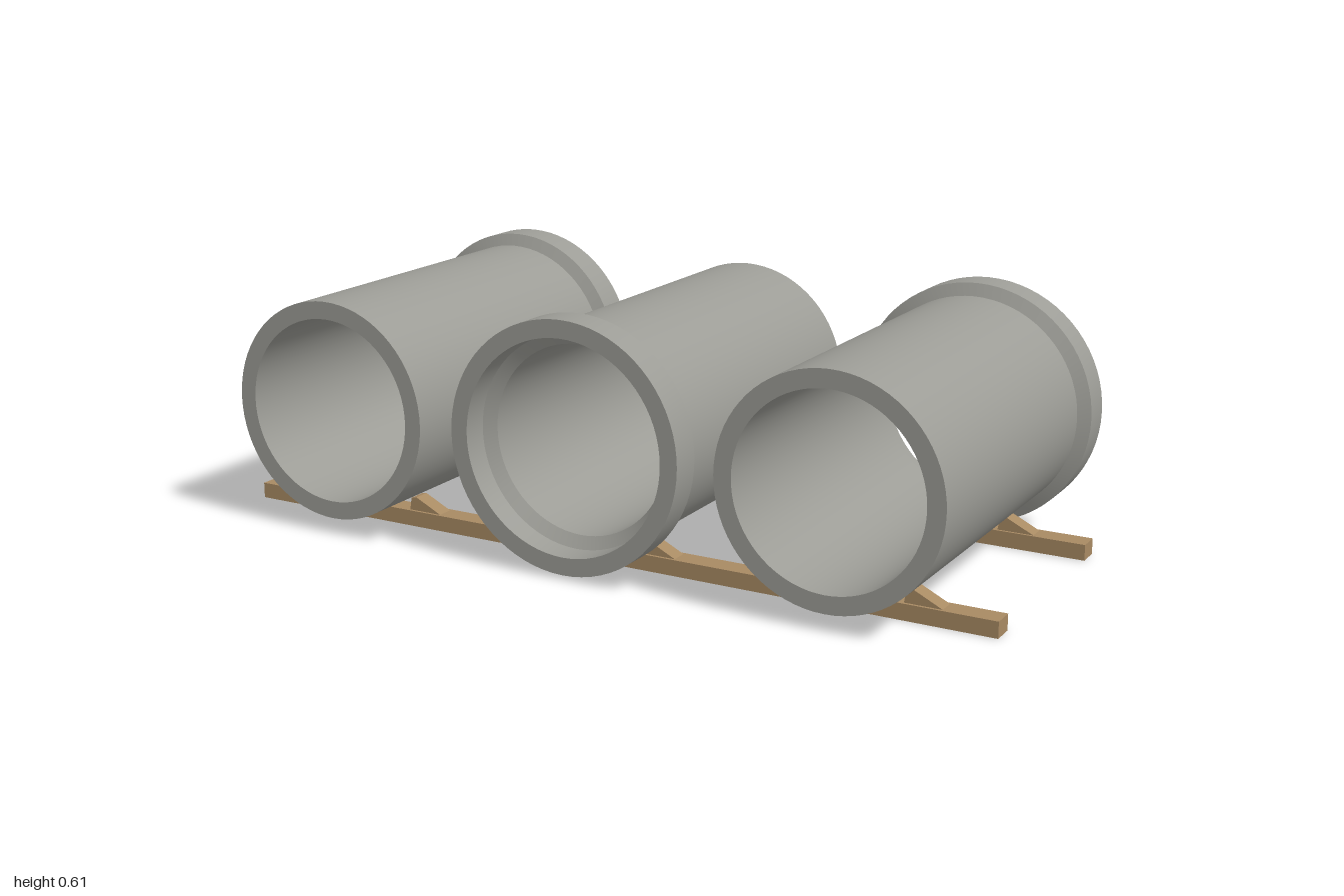
import * as THREE from 'three';
import { toCreasedNormals } from 'three/addons/utils/BufferGeometryUtils.js';

const concrete = new THREE.MeshStandardMaterial({ color: 0x9c9c96 });
concrete.name = 'concrete';
const wood = new THREE.MeshStandardMaterial({ color: 0xa88a63 });
wood.name = 'wood';

// Hollow pipe along z, with the bell end at +z
function pipeGeometry() {
  const profile = [
    [0.227, -0.458], [0.27, -0.458], // plain end
    [0.27, 0.363], [0.30, 0.378], [0.30, 0.458], // barrel, shoulder, bell
    [0.257, 0.458], [0.255, 0.395], [0.227, 0.375], // socket
    [0.227, -0.458], // bore
  ].map(([r, y]) => new THREE.Vector2(r, y));
  const geometry = new THREE.LatheGeometry(profile, 72);
  geometry.rotateX(Math.PI / 2);
  return toCreasedNormals(geometry, 0.35);
}

// Chock on the +x side of a pipe, resting on the batten
function chockGeometry() {
  const points = [[0.21, 0.039], [0.14, 0.073], [0.125, 0.07], [0.12, 0.039]];
  const shape = new THREE.Shape(points.map(([x, y]) => new THREE.Vector2(x, y)));
  const geometry = new THREE.ExtrudeGeometry(shape, { depth: 0.042, bevelEnabled: false });
  return geometry.translate(0, 0, -0.021);
}

export function createModel() {
  const model = new THREE.Group();
  model.name = 'pipesOnBattens';
  const pipe = pipeGeometry();
  const chock = chockGeometry();
  const batten = new THREE.BoxGeometry(2, 0.039, 0.056).translate(0, 0.0195, 0);
  const pipeX = [-0.66, 0, 0.66];

  const add = (name, geometry, material, x, y, z, turned = false) => {
    const mesh = new THREE.Mesh(geometry, material);
    mesh.name = name;
    mesh.position.set(x, y, z);
    if (turned) mesh.rotation.y = Math.PI;
    model.add(mesh);
  };

  // Pipes, laid alternately end for end
  pipeX.forEach((x) => add('pipe', pipe, concrete, x, 0.31, 0, x !== 0));

  // Two battens with a pair of chocks for each pipe
  for (const z of [-0.285, 0.285]) {
    add('batten', batten, wood, 0, 0, z);
    for (const x of pipeX) {
      add('chock', chock, wood, x, 0, z);
      add('chock', chock, wood, x, 0, z, true);
    }
  }
  return model;
}
